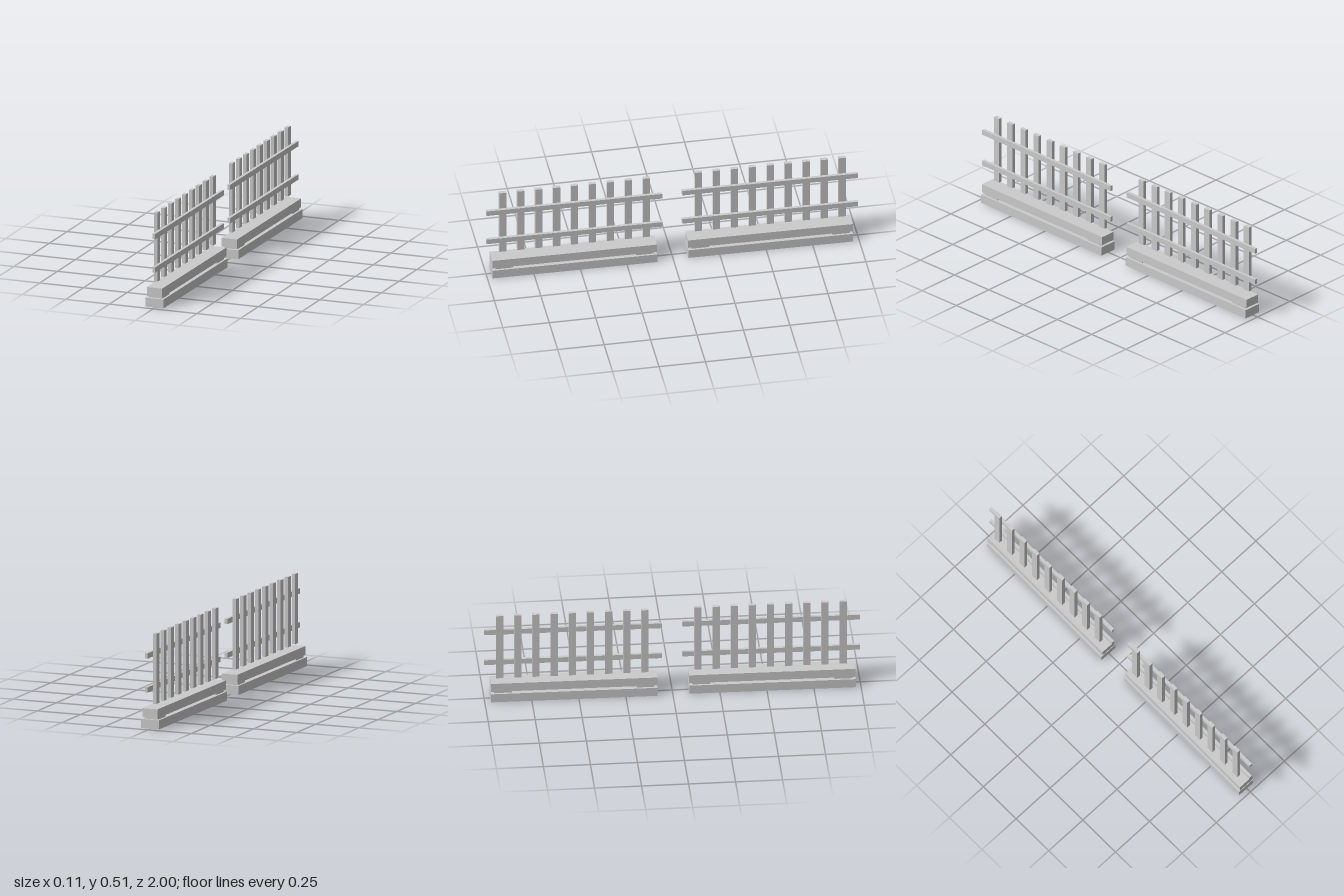
import * as THREE from 'three';

const material = new THREE.MeshStandardMaterial({ color: 0xcccccc, flatShading: true });

// Box given by its size and centre, slightly turned about its section's middle
function addBox(parent, name, [w, h, d], [x, y, z], skew = -0.0083) {
  const mesh = new THREE.Mesh(new THREE.BoxGeometry(w, h, d), material);
  mesh.name = name;
  mesh.position.set(x + z * Math.tan(skew), y, z);
  mesh.rotation.y = skew;
  parent.add(mesh);
}

function createSection() {
  const section = new THREE.Group();

  // Two stacked base beams held apart by spacers
  addBox(section, 'lowerBaseBeam', [0.102, 0.049, 0.885], [0, 0.0245, 0.003]);
  addBox(section, 'upperBaseBeam', [0.088, 0.048, 0.885], [0, 0.084, 0.003]);
  for (const side of [-1, 1]) {
    addBox(section, 'baseSpacer', [0.078, 0.011, 0.094], [0, 0.0545, 0.003 + side * 0.378]);
  }

  // Horizontal rails
  for (const y of [0.215, 0.398]) {
    addBox(section, 'rail', [0.0165, 0.029, 0.945], [0.0075, y, 0]);
  }

  // Upright slats behind the rails
  for (let i = 0; i < 9; i++) {
    addBox(section, 'slat', [0.02, 0.379, 0.038], [-0.0125, 0.3195, -0.005 + (i - 4) * 0.0965], -0.0055);
  }
  return section;
}

export function createModel() {
  const model = new THREE.Group();
  model.name = 'fence';

  // Two identical sections with a gap between them
  for (const [name, z] of [['frontSection', 0.527], ['backSection', -0.527]]) {
    const section = createSection();
    section.name = name;
    section.position.z = z;
    model.add(section);
  }
  return model;
}
